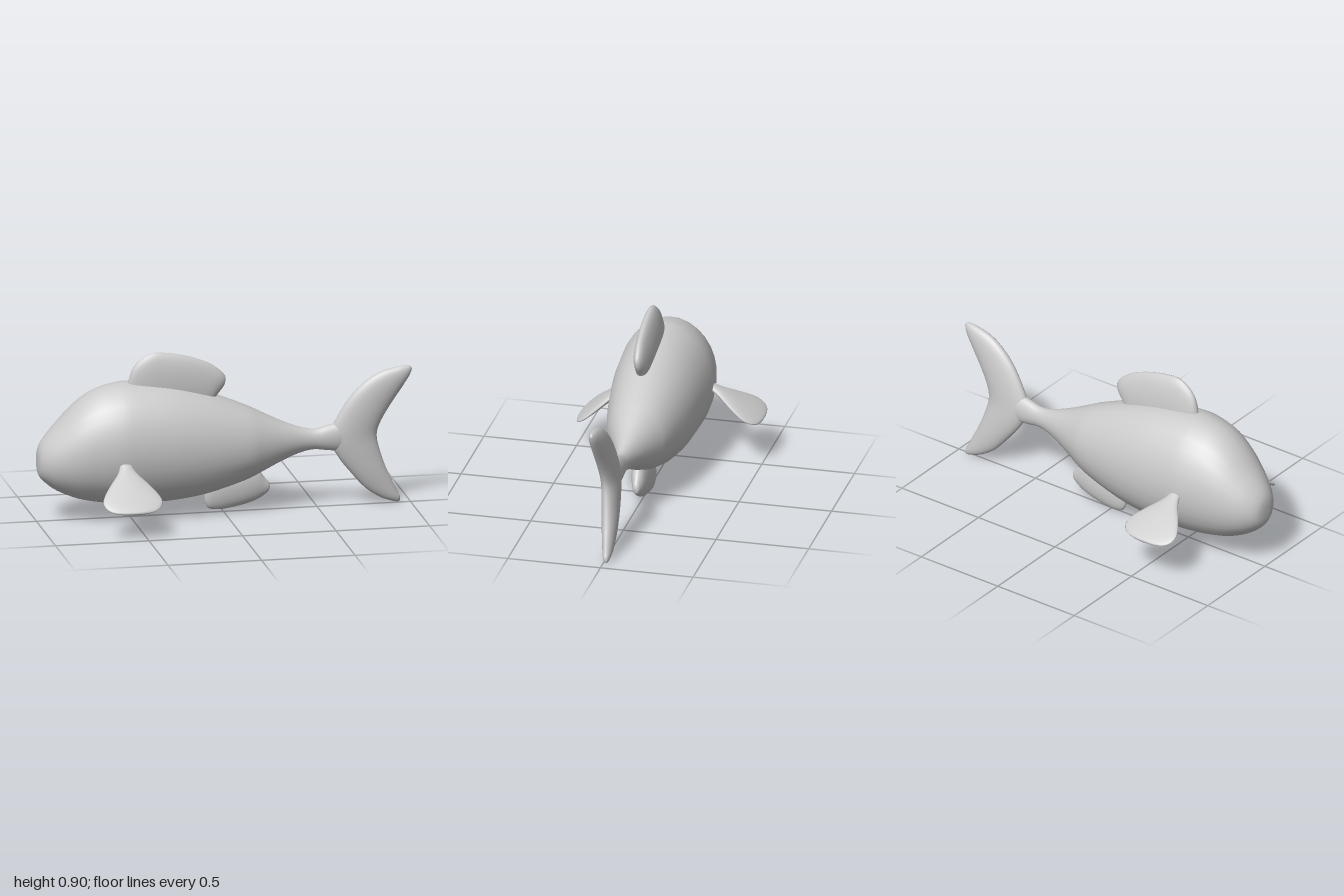
import * as THREE from 'three';

const material = new THREE.MeshStandardMaterial({ color: 0xcccccc });

// Smooth skin over elliptical sections [ax, ay, bx, by, t]:
// A and B are opposite rim points in the xy plane, t is half the thickness in z.
function loft(name, sections, steps = 4, sides = 28) {
  const curve = (f) => new THREE.CatmullRomCurve3(sections.map(f), false, 'catmullrom', 0.5);
  const rimA = curve((s) => new THREE.Vector3(s[0], s[1], s[4]));
  const rimB = curve((s) => new THREE.Vector3(s[2], s[3], 0));
  const n = (sections.length - 1) * steps;
  const pos = [], index = [];
  // The first and last rings are collapsed to close the ends.
  for (let i = -1; i <= n + 1; i++) {
    const u = THREE.MathUtils.clamp(i / n, 0, 1);
    const size = i < 0 || i > n ? 0 : 1;
    const a = rimA.getPoint(u), b = rimB.getPoint(u);
    for (let j = 0; j < sides; j++) {
      const q = (j / sides) * Math.PI * 2;
      const c = Math.cos(q) * size * 0.5;
      pos.push(
        (a.x + b.x) / 2 + (a.x - b.x) * c,
        (a.y + b.y) / 2 + (a.y - b.y) * c,
        Math.max(a.z, 0.002) * Math.sin(q) * size
      );
    }
  }
  for (let i = 0; i < n + 2; i++) {
    for (let j = 0; j < sides; j++) {
      const k = (j + 1) % sides;
      const p = i * sides + j, q = i * sides + k;
      const r = p + sides, s = q + sides;
      if (i <= n) index.push(q, s, r);
      if (i > 0) index.push(p, q, r);
      else index.push(p, q, r);
    }
  }
  const geo = new THREE.BufferGeometry();
  geo.setAttribute('position', new THREE.Float32BufferAttribute(pos, 3));
  geo.setIndex(index);
  geo.computeVertexNormals();
  const mesh = new THREE.Mesh(geo, material);
  mesh.name = name;
  return mesh;
}

// Upright sections given as [x, top, bottom, half thickness].
const upright = (rows) => rows.map(([x, top, bottom, t]) => [x, top, x, bottom, t]);

export function createModel() {
  const model = new THREE.Group();
  model.name = 'fish';
  const fish = new THREE.Group();
  fish.name = 'rolledFish';

  // Body, from blunt nose to the narrow tail stalk
  fish.add(loft('body', upright([
    [-1.0, 0.37, 0.29, 0.03], [-0.99, 0.415, 0.255, 0.07], [-0.96, 0.465, 0.22, 0.11],
    [-0.9, 0.535, 0.175, 0.155], [-0.8, 0.64, 0.13, 0.2], [-0.7, 0.71, 0.105, 0.227],
    [-0.6, 0.74, 0.092, 0.245], [-0.5, 0.748, 0.085, 0.247], [-0.3, 0.725, 0.088, 0.236],
    [-0.1, 0.67, 0.115, 0.211], [0.1, 0.59, 0.175, 0.17], [0.2, 0.54, 0.22, 0.132],
    [0.3, 0.49, 0.268, 0.09], [0.4, 0.45, 0.307, 0.053], [0.48, 0.435, 0.322, 0.038],
    [0.56, 0.452, 0.312, 0.039], [0.64, 0.46, 0.31, 0.036], [0.74, 0.4, 0.37, 0.01],
  ])));

  // Forked tail, swept from the lower tip to the upper tip
  fish.add(loft('tailFin', [
    [0.932, 0.004, 0.945, 0.01, 0.006], [0.905, 0.01, 0.945, 0.035, 0.016],
    [0.84, 0.035, 0.93, 0.065, 0.026], [0.76, 0.09, 0.9, 0.13, 0.035],
    [0.68, 0.18, 0.867, 0.2, 0.042], [0.605, 0.28, 0.832, 0.3, 0.045],
    [0.56, 0.385, 0.815, 0.385, 0.045], [0.615, 0.52, 0.835, 0.46, 0.045],
    [0.7, 0.64, 0.885, 0.55, 0.042], [0.81, 0.725, 0.94, 0.635, 0.036],
    [0.92, 0.758, 0.983, 0.705, 0.024], [0.985, 0.762, 0.998, 0.745, 0.008],
  ]));

  // Fin on the back
  fish.add(loft('dorsalFin', upright([
    [-0.52, 0.755, 0.7, 0.012], [-0.5, 0.82, 0.63, 0.026], [-0.46, 0.868, 0.58, 0.036],
    [-0.39, 0.905, 0.56, 0.044], [-0.3, 0.9, 0.56, 0.047], [-0.2, 0.878, 0.56, 0.045],
    [-0.1, 0.84, 0.58, 0.038], [-0.04, 0.8, 0.66, 0.028], [-0.01, 0.77, 0.7, 0.016],
    [0.0, 0.75, 0.73, 0.006],
  ])));

  // Fin under the belly
  fish.add(loft('bellyFin', upright([
    [-0.1, 0.11, 0.06, 0.01], [-0.085, 0.18, 0.03, 0.024], [-0.06, 0.22, 0.017, 0.034],
    [0.0, 0.25, 0.015, 0.042], [0.1, 0.26, 0.033, 0.044], [0.17, 0.245, 0.055, 0.038],
    [0.215, 0.185, 0.08, 0.026], [0.24, 0.155, 0.1, 0.016], [0.247, 0.135, 0.12, 0.006],
  ])));

  // Paired fan-shaped side fins: distance from root, half width, half thickness
  const fan = [
    [0, 0.022, 0.018], [0.08, 0.046, 0.02], [0.16, 0.1, 0.021], [0.22, 0.138, 0.02],
    [0.27, 0.157, 0.018], [0.31, 0.148, 0.016], [0.338, 0.12, 0.013],
    [0.352, 0.08, 0.01], [0.358, 0.03, 0.005],
  ].map(([d, w, t]) => [w, -d, -w, -d, t]);
  for (const side of [1, -1]) {
    const fin = loft(side > 0 ? 'sideFinFront' : 'sideFinBack', fan);
    fin.position.set(-0.573, 0.39, 0.2 * side);
    fin.rotation.x = -0.994 * side;
    fish.add(fin);
  }

  // Slight roll around the long axis
  fish.children.forEach((part) => { part.position.y -= 0.17; });
  fish.position.y = 0.17;
  fish.rotation.x = 0.09;
  model.add(fish);
  return model;
}
